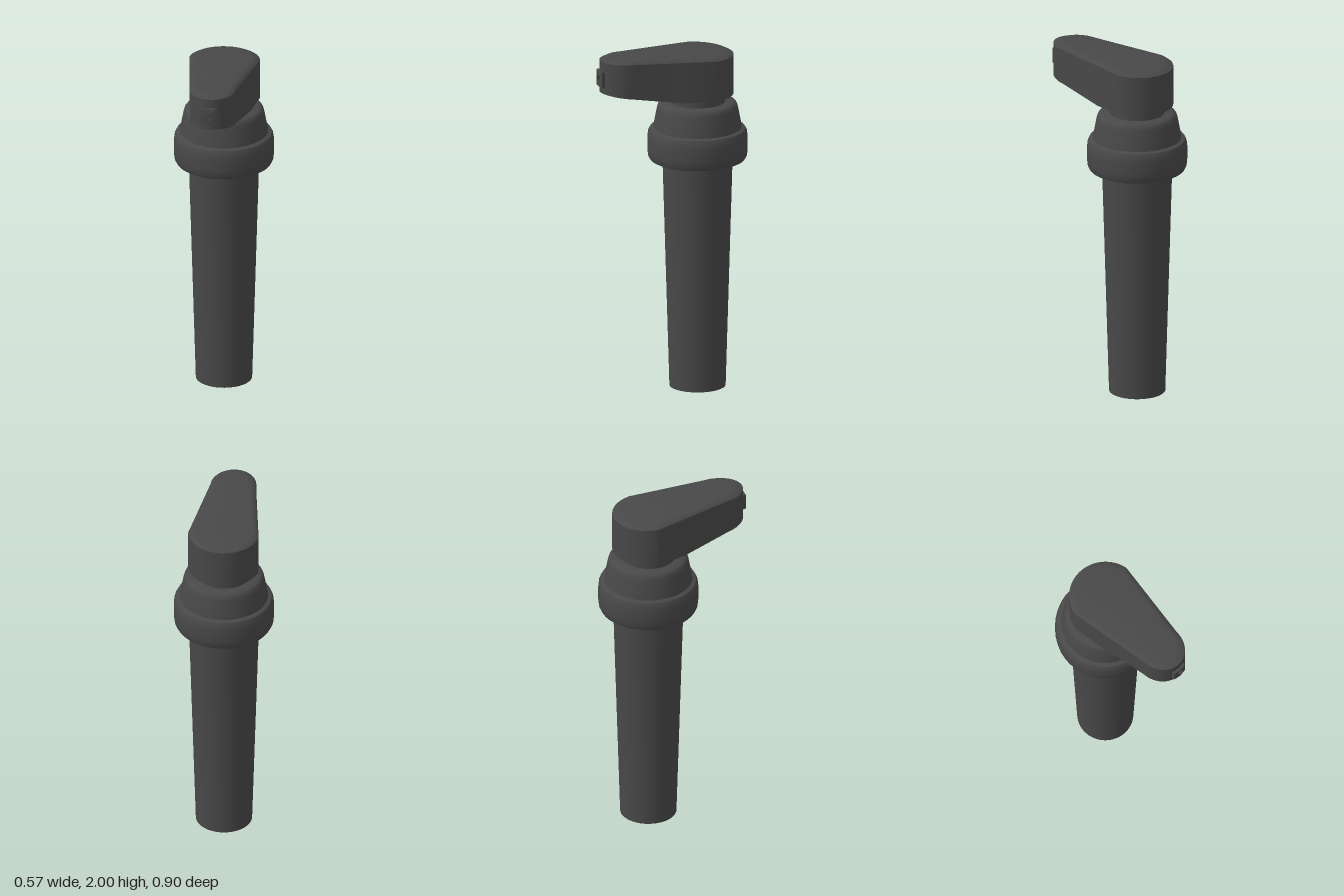
import * as THREE from 'three';
import { toCreasedNormals } from 'three/addons/utils/BufferGeometryUtils.js';

const AXIS_Z = -0.165; // centre line of the round parts

export function createModel() {
  const model = new THREE.Group();
  model.name = 'pumpDispenser';
  const material = new THREE.MeshStandardMaterial({ color: 0x484848 });

  const add = (name, geometry, crease = 0.6) => {
    const mesh = new THREE.Mesh(toCreasedNormals(geometry, crease), material);
    mesh.name = name;
    model.add(mesh);
    return mesh;
  };
  // Turned part from [radius, height] pairs, bottom to top
  const turned = (name, profile) => {
    const points = profile.map(([r, y]) => new THREE.Vector2(r, y));
    add(name, new THREE.LatheGeometry(points, 40)).position.z = AXIS_Z;
  };

  turned('stem', [[0, 0], [0.16, 0], [0.2, 1.36], [0, 1.36]]);
  turned('lowerCollar', [[0, 1.34], [0.255, 1.34], [0.272, 1.347], [0.281, 1.365], [0.285, 1.4],
    [0.285, 1.47], [0.281, 1.505], [0.272, 1.523], [0.257, 1.53], [0, 1.53]]);
  turned('upperCollar', [[0, 1.52], [0.252, 1.52], [0.248, 1.55], [0.23, 1.645],
    [0.224, 1.665], [0.214, 1.677], [0.2, 1.682], [0, 1.682]]);
  turned('neck', [[0, 1.66], [0.157, 1.66], [0.157, 1.76], [0, 1.76]]);

  add('pumpHead', headGeometry(), 0.7);
  add('nozzle', nozzleGeometry()).position.set(-0.003, 1.885, 0.4);

  return model;
}

// Teardrop plan as [x, z], running anticlockwise seen from above
function headOutline() {
  const half = [];
  const steps = 14;
  for (let i = 0; i <= steps; i++) { // spout end
    const t = (i / steps) * Math.PI / 2;
    half.push([0.13 * Math.sin(t), 0.28 + 0.15 * Math.cos(t)]);
  }
  half.push([0.175, -0.02]);
  const start = Math.PI / 2 + 0.17;
  for (let i = 0; i <= steps; i++) { // wide rear end
    const t = start + (i / steps) * (Math.PI - start);
    half.push([0.205 * Math.sin(t), AXIS_Z + 0.205 * Math.cos(t)]);
  }
  const mirrored = half.slice(1, -1).reverse().map(([x, z]) => [-x, z]);
  return [...half, ...mirrored];
}

// Sloping top with a softly dropped rim, underside rising towards the spout
function headGeometry() {
  const outline = headOutline();
  const n = outline.length;
  const midZ = -0.02;
  const bottomY = z => Math.max(1.73, 1.733 + 0.155 * z);
  const topY = z => 1.988 + 0.033 * z;
  const rings = [
    [0, bottomY],
    [1, bottomY],
    [1, z => topY(z) - 0.017],
    [0.93, z => topY(z) - 0.005],
    [0.82, topY],
    [0, topY],
  ];
  const positions = [];
  const index = [];
  rings.forEach(([scale, height], k) => {
    outline.forEach(([x, z], i) => {
      const pz = midZ + (z - midZ) * scale;
      positions.push(x * scale, height(pz), pz);
      if (k === 0) return;
      const j = (i + 1) % n;
      const a = (k - 1) * n + i, b = (k - 1) * n + j;
      const c = k * n + i, d = k * n + j;
      if (rings[k - 1][0] > 0) index.push(a, b, d);
      if (scale > 0) index.push(a, d, c);
      else index.push(a, b, c);
    });
  });
  // The first ring is a single point, so its fan needs only one triangle per side
  const geometry = new THREE.BufferGeometry();
  geometry.setAttribute('position', new THREE.Float32BufferAttribute(positions, 3));
  geometry.setIndex(index);
  return geometry;
}

// Square outlet with a rounded opening, its face bowed like the spout end
function nozzleGeometry() {
  const s = 0.041;
  const shape = new THREE.Shape([[-s, -s - 0.004], [0, -s - 0.004], [s, -s - 0.004], [s, s + 0.004],
    [0, s + 0.004], [-s, s + 0.004]].map(([x, y]) => new THREE.Vector2(x, y)));
  const hole = new THREE.Path();
  hole.absellipse(0, 0, 0.018, 0.024, 0, Math.PI * 2, true);
  shape.holes.push(hole);
  const geometry = new THREE.ExtrudeGeometry(shape, { depth: 0.047, bevelEnabled: false, curveSegments: 10 });
  const p = geometry.attributes.position;
  for (let i = 0; i < p.count; i++) p.setZ(i, p.getZ(i) - 4 * p.getX(i) ** 2);
  return geometry;
}
